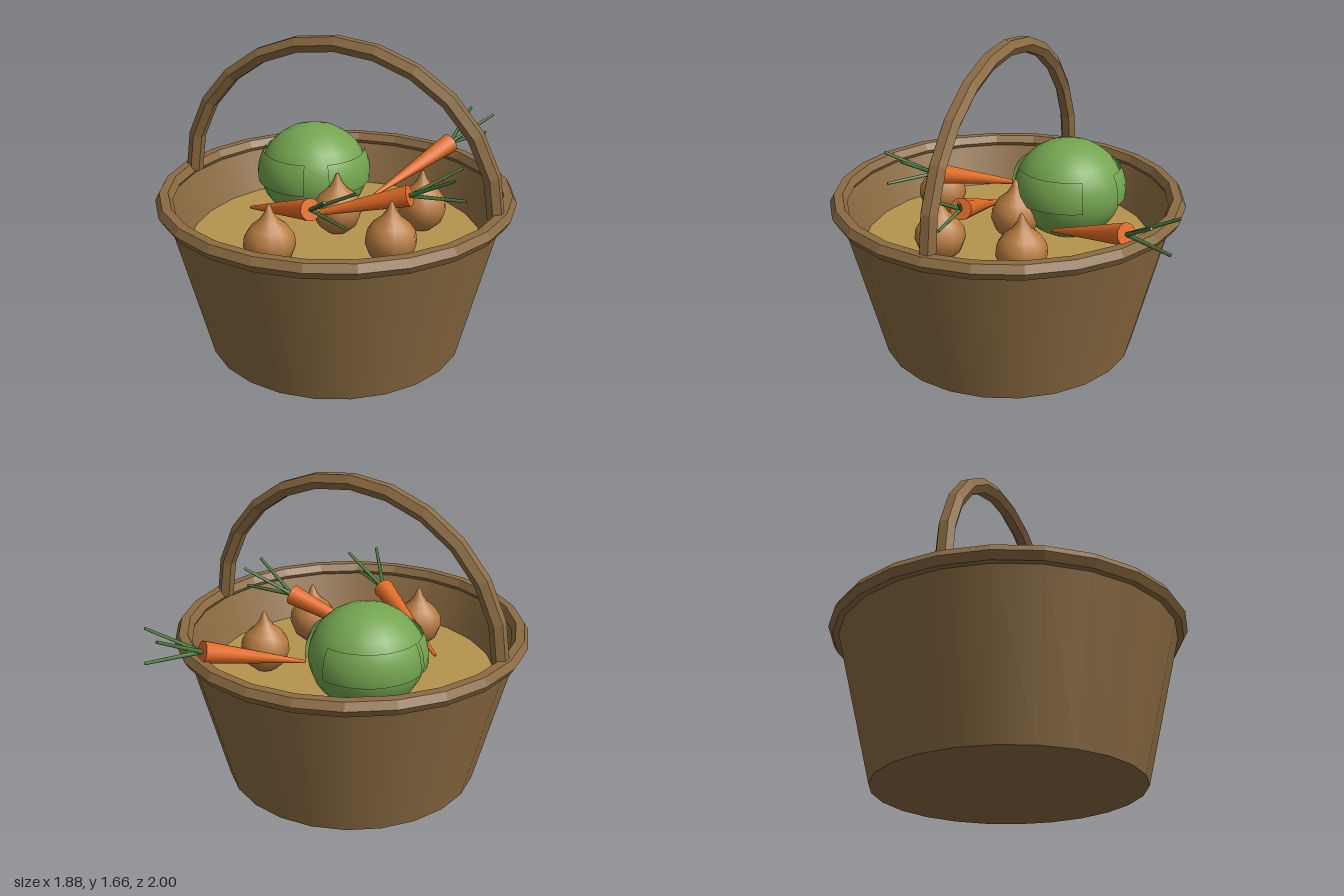
import * as THREE from 'three';

const paint = (name, color, extra = {}) => {
  const m = new THREE.MeshStandardMaterial({ color, ...extra });
  m.name = name;
  return m;
};
const V = (x, y, z) => new THREE.Vector3(x, y, z);

export function createModel() {
  const wood = paint('wickerBrown', 0x8b6b42);
  const trim = wood.clone(); // same brown with faceted shading
  trim.flatShading = true;
  const straw = paint('straw', 0xb5944e);
  const cabbageGreen = paint('cabbageGreen', 0x74a550, { side: THREE.DoubleSide });
  const carrotOrange = paint('carrotOrange', 0xe06a24);
  const stemGreen = paint('stemGreen', 0x4c7d3f);
  const onionBrown = paint('onionBrown', 0xb87c42);

  const model = new THREE.Group();
  const add = (name, geometry, material, parent = model) => {
    const mesh = new THREE.Mesh(geometry, material);
    mesh.name = name;
    parent.add(mesh);
    return mesh;
  };
  const group = (name, x, y, z) => {
    const g = new THREE.Group();
    g.name = name;
    g.position.set(x, y, z);
    model.add(g);
    return g;
  };
  const lathe = (pts, sides) =>
    new THREE.LatheGeometry(pts.map(([r, y]) => new THREE.Vector2(r, y)), sides);

  // Tapered rod from a to b
  const rod = (name, a, b, ra, rb, sides, material, parent) => {
    const dir = b.clone().sub(a);
    const mesh = add(name, new THREE.CylinderGeometry(rb, ra, dir.length(), sides), material, parent);
    mesh.position.copy(a).addScaledVector(dir, 0.5);
    mesh.quaternion.setFromUnitVectors(V(0, 1, 0), dir.normalize());
    return mesh;
  };

  // Basket: outer wall, base, inner wall, straw bed
  const basket = group('basket', 0, 0, 0.05);
  add('outerWall', lathe([[0.69, 0], [0.895, 0.82]], 24), wood, basket);
  add('base', lathe([[0, 0], [0.69, 0]], 24), wood, basket);
  add('innerWall', lathe([[0.87, 0.82], [0.775, 0.58]], 24), wood, basket);
  const bed = add('strawBed', new THREE.CircleGeometry(0.777, 24), straw, basket);
  bed.rotation.x = -Math.PI / 2;
  bed.position.y = 0.58;

  // Rim and hexagonal arched handle
  const rim = add('rim', new THREE.TorusGeometry(0.895, 0.045, 6, 24), trim, basket);
  rim.rotation.x = Math.PI / 2;
  rim.position.y = 0.82;
  class Arch extends THREE.Curve {
    getPoint(t, target = new THREE.Vector3()) {
      const a = t * Math.PI;
      return target.set(0.865 * Math.cos(a), 0.82 + 0.8 * Math.sin(a), 0);
    }
  }
  add('handle', new THREE.TubeGeometry(new Arch(), 12, 0.045, 6), trim, basket);

  // Cabbage: flattened head wrapped by three leaf bands
  const cabbage = group('cabbage', -0.245, 0.82, -0.2);
  add('cabbageHead', new THREE.SphereGeometry(0.298, 20, 14), cabbageGreen, cabbage).scale.y = 0.91;
  const deg = Math.PI / 180;
  for (const [from, to] of [[75, 175], [180, 282], [-36, 50]]) {
    // Sphere phi runs from -x, so mirror the angle measured from +x towards +z
    const leaf = new THREE.SphereGeometry(0.313, 10, 4, (180 - to) * deg, (to - from) * deg, 63 * deg, 34 * deg);
    add('cabbageLeaf', leaf, cabbageGreen, cabbage).scale.y = 0.92;
  }

  // Onions
  const onionShape = lathe([
    [0, -0.13], [0.06, -0.118], [0.108, -0.075], [0.132, -0.01], [0.125, 0.045],
    [0.095, 0.09], [0.052, 0.125], [0.024, 0.165], [0.008, 0.205], [0, 0.21],
  ], 12);
  for (const [x, z] of [[0.39, -0.21], [0.39, 0.25], [-0.145, 0.53], [-0.01, 0.01]]) {
    add('onion', onionShape, onionBrown).position.set(x, 0.705, z);
  }

  // Carrots: tapered root with three stems, given by tip and crown in plan
  for (const [tx, tz, cx, cz] of [
    [0.1, -0.25, 0.37, -0.74],
    [-0.44, 0.18, 0.05, 0.465],
    [-0.14, 0.17, 0.43, 0.105],
  ]) {
    const carrot = group('carrot', 0, 0, 0);
    const crown = V(cx, 0.895, cz);
    rod('carrotRoot', V(tx, 0.71, tz), crown, 0.008, 0.057, 12, carrotOrange, carrot);
    const along = V(cx - tx, 0, cz - tz).normalize();
    const across = V(-along.z, 0, along.x);
    for (const [forward, side, rise] of [[0.25, -0.09, 0.145], [0.29, 0, 0.005], [0.25, 0.09, 0.145]]) {
      const end = crown.clone().addScaledVector(along, forward).addScaledVector(across, side);
      end.y += rise;
      rod('carrotStem', crown, end, 0.011, 0.008, 6, stemGreen, carrot);
    }
  }
  return model;
}
